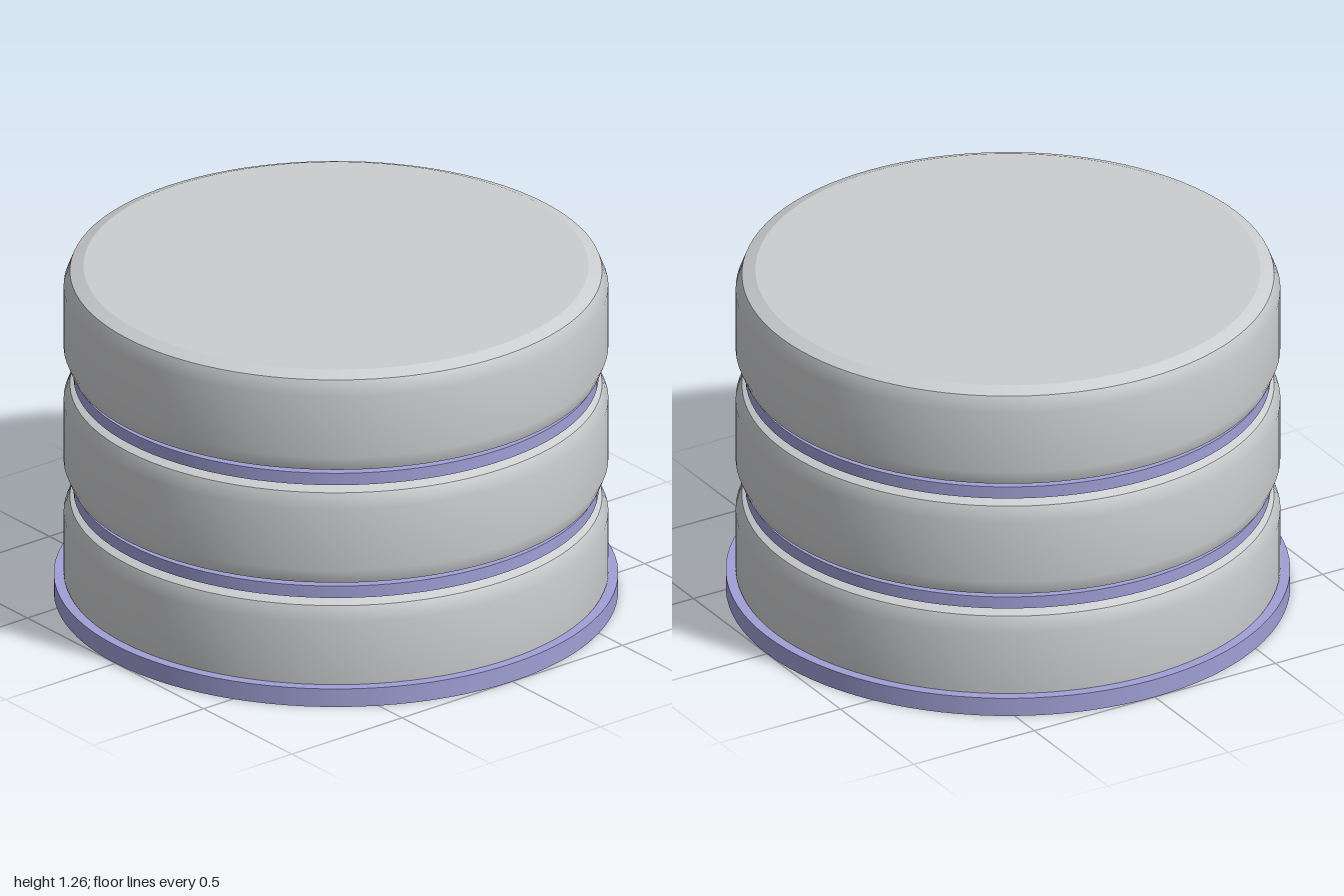
import * as THREE from 'three';
import { mergeGeometries } from 'three/addons/utils/BufferGeometryUtils.js';

const SEGMENTS = 96;

// Revolve several profile runs; each run is smooth in itself, with sharp edges between runs
function revolve(runs) {
  return mergeGeometries(runs.map((run) =>
    new THREE.LatheGeometry(run.map(([r, y]) => new THREE.Vector2(r, y)), SEGMENTS)));
}

export function createModel() {
  const group = new THREE.Group();
  const grey = new THREE.MeshStandardMaterial({ color: 0xcccdcf });
  grey.name = 'light grey';
  const violet = new THREE.MeshStandardMaterial({ color: 0x9f9fd5 });
  violet.name = 'soft violet';

  function add(name, geometry, material, y) {
    const mesh = new THREE.Mesh(geometry, material);
    mesh.name = name;
    mesh.position.y = y;
    group.add(mesh);
  }

  // Bevelled drum: caps, shallow bevels and a softly rounded side
  const drum = revolve([
    [[0, 0], [0.895, 0]],
    [[0.895, 0], [0.943, 0.019]],
    [[0.943, 0.019], [0.965, 0.075], [0.965, 0.312], [0.943, 0.368]],
    [[0.943, 0.368], [0.895, 0.387]],
    [[0.895, 0.387], [0, 0.387]],
  ]);
  const pitch = 0.4385;
  ['lowerDrum', 'middleDrum', 'upperDrum'].forEach((name, i) => add(name, drum, grey, i * pitch));

  // Thin discs between the drums
  const spacer = new THREE.CylinderGeometry(0.93, 0.93, 0.046, SEGMENTS);
  ['lowerSpacer', 'upperSpacer'].forEach((name, i) => add(name, spacer, violet, 0.415 + i * pitch));

  // Base rim around the lowest drum, open under the drum's flat bottom
  const rim = revolve([
    [[0.895, 0], [1, 0]],
    [[1, 0], [1, 0.07]],
    [[1, 0.07], [0.94, 0.07]],
  ]);
  add('baseRim', rim, violet, 0);

  return group;
}
